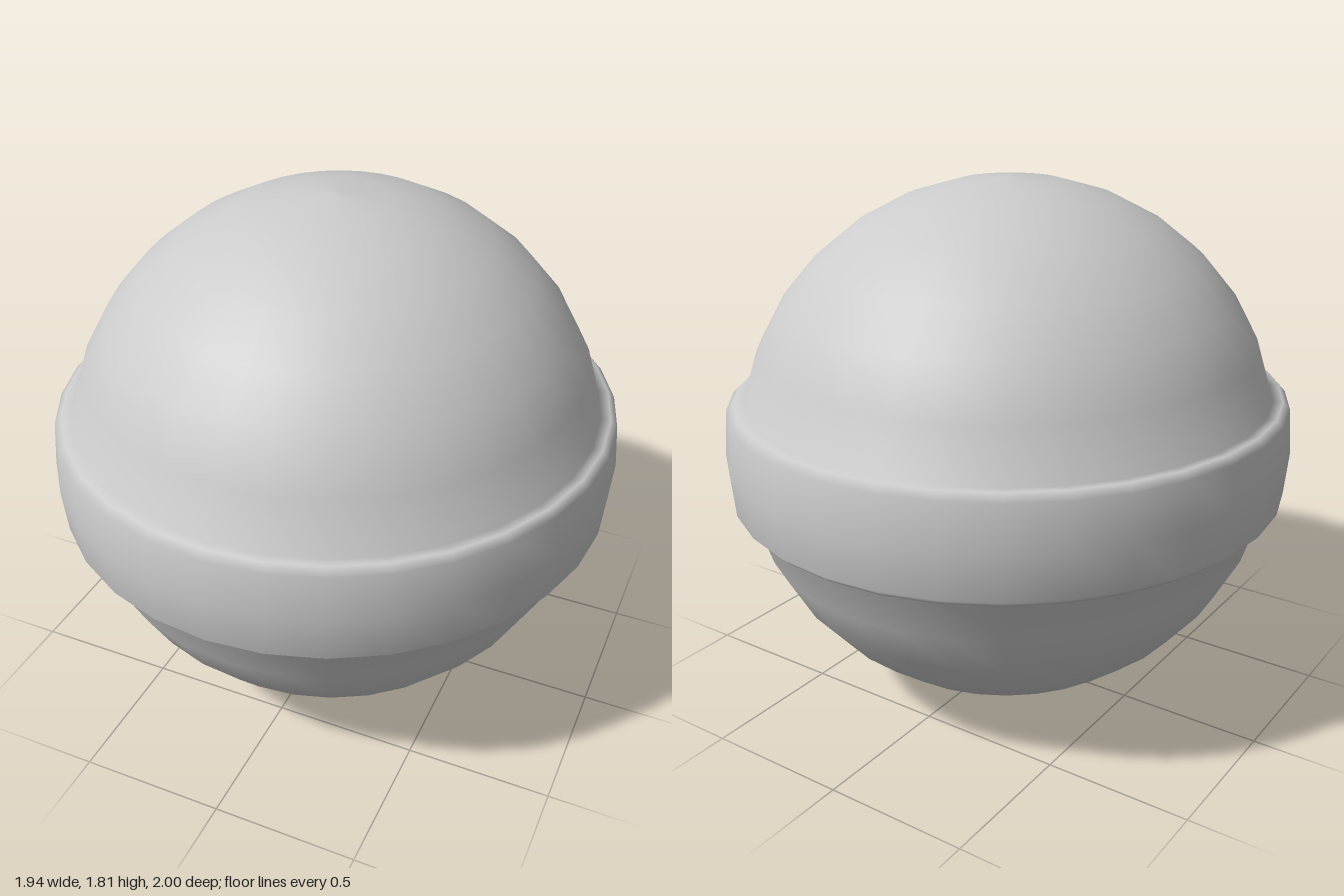
import * as THREE from 'three';

const CENTRE = 0.907; // height of the equator
const STEPS = 16; // rings from pole to pole

export function createModel() {
  const group = new THREE.Group();
  group.name = 'bandedBall';

  // Half profile from the bottom pole to the top pole, with the belt in place of the equator ring
  const profile = [];
  for (let i = 0; i <= STEPS; i++) {
    const a = -Math.PI / 2 + (Math.PI * i) / STEPS;
    if (i === STEPS / 2) {
      profile.push([0.962, -0.178], [0.986, -0.155], [1, 0], [0.986, 0.155], [0.962, 0.178]);
    } else {
      const pole = i === 0 || i === STEPS;
      profile.push([pole ? 0 : 0.946 * Math.cos(a), 0.905 * Math.sin(a)]);
    }
  }

  // Ball and raised belt as one smooth skin, slightly narrower across x than z
  const geometry = new THREE.LatheGeometry(
    profile.map(([r, y]) => new THREE.Vector2(r, y)), 32);
  geometry.scale(0.972, 1, 1);
  geometry.translate(0, CENTRE, 0);

  const ball = new THREE.Mesh(geometry, new THREE.MeshStandardMaterial({ color: 0xcccccc }));
  ball.name = 'ballWithBelt';
  group.add(ball);
  return group;
}
